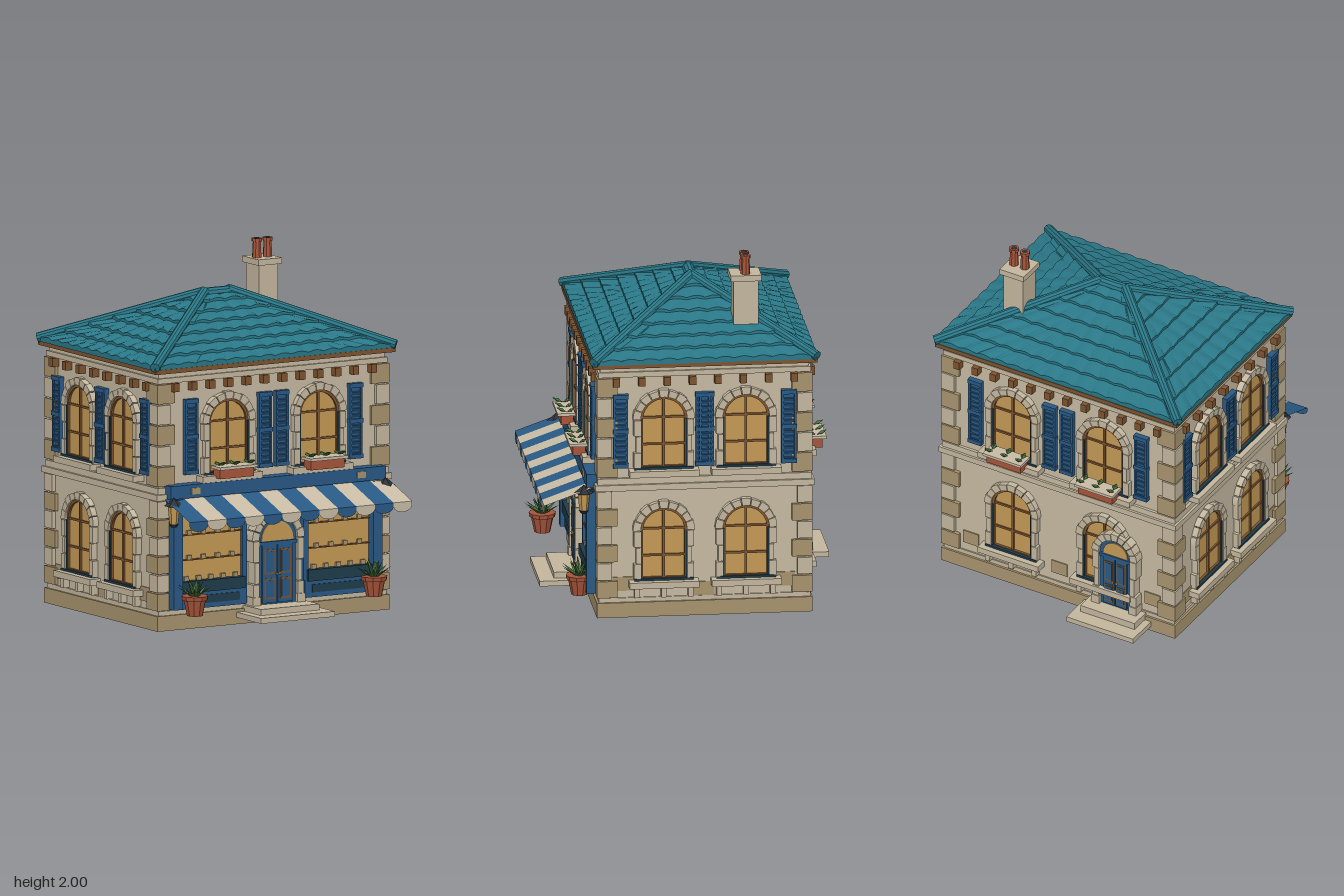
import * as THREE from 'three';

const C = { wall: 0xc6baa2, stone: 0xc4b79e, sand: 0xa8946e, roof: 0x2a7888, blue: 0x295a86, navy: 0x1f3c4c,
  glass: 0xc49a55, wood: 0x7d5430, clay: 0xa8553a, leaf: 0x47713f, iron: 0x2c3238, cream: 0xc9bda6 };
const mats = {};
const mat = (c) => (mats[c] ??= new THREE.MeshStandardMaterial({ color: c, flatShading: true, roughness: 0.9, side: THREE.DoubleSide }));
const X = 0.735, ZF = 0.528, ZB = -0.638, ZC = -0.055;

function add(parent, name, geo, color, x = 0, y = 0, z = 0) {
  const m = new THREE.Mesh(geo, mat(color));
  m.name = name;
  m.position.set(x, y, z);
  parent.add(m);
  return m;
}
const box = (p, name, w, h, d, x, y, z, c) => add(p, name, new THREE.BoxGeometry(w, h, d), c, x, y, z);
function sub(parent, name, x = 0, y = 0, z = 0, ry = 0) {
  const g = new THREE.Group();
  g.name = name;
  g.position.set(x, y, z);
  g.rotation.y = ry;
  parent.add(g);
  return g;
}
const extrude = (s, depth, curveSegments = 12) => new THREE.ExtrudeGeometry(s, { depth, bevelEnabled: false, curveSegments });

function archShape(a, y0, spring) {
  const s = new THREE.Shape();
  s.moveTo(-a, y0);
  s.lineTo(a, y0);
  s.lineTo(a, spring);
  s.absarc(0, spring, a, 0, Math.PI);
  s.closePath();
  return s;
}

// Ring of wedge stones over stacked jamb stones
function stoneArch(g, a, r, y0, spring, depth, n = 9) {
  for (let i = 0; i < n; i++) {
    const t0 = Math.PI * (i + 0.04) / n, t1 = Math.PI * (i + 0.96) / n, R = r + (i % 2 ? 0 : 0.005);
    const s = new THREE.Shape();
    s.absarc(0, spring, R, t0, t1);
    s.absarc(0, spring, a, t1, t0, true);
    add(g, 'archStone', extrude(s, depth, 3), i % 2 ? C.stone : C.wall);
  }
  const h = (spring - y0) / 3;
  for (const s of [-1, 1]) for (let i = 0; i < 3; i++) {
    const w = (r - a) - (i % 2 ? 0.012 : 0);
    box(g, 'jambStone', w, h - 0.004, depth, s * (a + w / 2), y0 + h * (i + 0.5), depth / 2, i % 2 ? C.wall : C.stone);
  }
}

function archedWindow(p, x, y, z, ry, feet) {
  const g = sub(p, 'archedWindow', x, y, z, ry), a = 0.13, sp = 0.325;
  add(g, 'glass', extrude(archShape(a, 0.04, sp), 0.008), C.glass);
  const ring = archShape(a, 0.04, sp);
  ring.holes.push(archShape(a - 0.014, 0.055, sp));
  add(g, 'windowFrame', extrude(ring, 0.022), C.wood);
  box(g, 'mullion', 0.014, 0.4, 0.012, 0, 0.25, 0.012, C.wood);
  for (const yy of [0.18, 0.335]) box(g, 'glazingBar', 2 * a - 0.02, 0.012, 0.01, 0, yy, 0.012, C.wood);
  for (const s of [-1, 1]) box(g, 'jambLining', 0.012, sp - 0.04, 0.028, s * (a - 0.003), (sp + 0.04) / 2, 0.014, C.navy);
  stoneArch(g, a, 0.168, 0.04, sp, 0.035);
  box(g, 'sill', 0.39, 0.036, 0.07, 0, 0.018, 0.035, C.stone);
  box(g, 'sillTrim', 0.33, 0.012, 0.04, 0, 0.044, 0.02, C.navy);
  if (feet) for (const fx of [-0.15, 0, 0.15]) box(g, 'sillFoot', 0.03, 0.06, 0.04, fx, -0.03, 0.02, C.stone);
  return g;
}

function shutters(g) {
  for (const s of [-1, 1]) {
    const sh = sub(g, 'shutter', s * 0.24, 0.26, s * 0.001);
    box(sh, 'shutterBoard', 0.07, 0.41, 0.016, 0, 0, 0.01, C.blue);
    for (const e of [-1, 1]) box(sh, 'shutterStile', 0.012, 0.42, 0.028, e * 0.035, 0, 0.014, C.blue);
    for (const yy of [-0.2, 0, 0.2]) box(sh, 'shutterRail', 0.086, 0.024, 0.032, 0, yy, 0.016, C.blue);
    for (let i = 0; i < 12; i++) if (i !== 6) box(sh, 'louver', 0.06, 0.022, 0.006, 0, -0.186 + i * 0.031, 0.021, C.blue).rotation.x = 0.5;
  }
}

function flowerBox(g) {
  box(g, 'flowerBox', 0.22, 0.055, 0.07, 0, 0.05, 0.08, C.clay);
  box(g, 'flowerBoxRim', 0.245, 0.016, 0.1, 0, 0.083, 0.086, C.cream);
  for (const fx of [-0.095, 0, 0.095]) for (const k of [0, 1]) {
    const l = add(g, 'leaf', new THREE.OctahedronGeometry(1), C.leaf, fx, 0.107 - k * 0.004, k ? 0.058 : 0.112);
    l.scale.set(k ? 0.018 : 0.026, 0.01, k ? 0.022 : 0.032);
    l.rotation.x = k ? 0.5 : -0.45;
  }
}

function archedDoor(p, name, x, y, z, ry, a, spring, depth) {
  const g = sub(p, name, x, y, z, ry), zf = depth - 0.018, top = spring - 0.02;
  add(g, 'doorBacking', extrude(archShape(a, 0, spring), zf), C.blue);
  add(g, 'fanlight', extrude(archShape(a - 0.022, top + 0.012, spring), 0.006), C.glass, 0, 0, zf);
  box(g, 'transom', 2 * a, 0.02, 0.014, 0, top, zf + 0.005, C.blue);
  for (const s of [-1, 1]) {
    const w = a - 0.028;
    box(g, 'doorLeaf', w, top - 0.02, 0.008, s * (w / 2 + 0.003), top / 2, zf + 0.004, C.blue);
    for (const [yy, h] of [[top * 0.26, top * 0.34], [top * 0.7, top * 0.4]]) {
      box(g, 'panelTrim', w * 0.72, h, 0.004, s * (w / 2 + 0.003), yy, zf + 0.009, C.wood);
      box(g, 'doorPanel', w * 0.56, h - 0.02, 0.006, s * (w / 2 + 0.003), yy, zf + 0.01, C.blue);
    }
    add(g, 'doorKnob', new THREE.SphereGeometry(0.008, 6, 5), C.glass, s * 0.012, top * 0.5, zf + 0.016);
    box(g, 'postBase', 0.05, 0.05, depth + 0.012, s * (a + 0.02), 0.025, depth / 2, C.stone);
  }
  stoneArch(g, a, a + 0.04, 0, spring, depth);
}

// One hipped slope of stepped, wavy tile courses
function tileSlope(p, a, b, ra, rb) {
  const rows = 7, cols = 64, dir = b.clone().sub(a).normalize(), pos = [], idx = [];
  for (let k = 0; k < rows; k++) {
    const base = pos.length / 3;
    for (const [t, lift, amp] of [[k / rows, -0.006, 0], [k / rows, 0.016, 0.012], [Math.min(1, (k + 1.1) / rows), 0.002, 0.008]]) {
      const l = a.clone().lerp(ra, t), r = b.clone().lerp(rb, t);
      for (let i = 0; i <= cols; i++) {
        const q = l.clone().lerp(r, i / cols), s = q.clone().sub(a).dot(dir);
        pos.push(q.x, q.y + lift + amp * Math.abs(Math.cos(Math.PI * s / 0.105)), q.z);
      }
    }
    for (let j = 0; j < 2; j++) for (let i = 0; i < cols; i++) {
      const o = base + j * (cols + 1) + i, u = o + cols + 1;
      idx.push(o, o + 1, u + 1, o, u + 1, u);
    }
  }
  const geo = new THREE.BufferGeometry();
  geo.setAttribute('position', new THREE.Float32BufferAttribute(pos, 3));
  geo.setIndex(idx);
  geo.computeVertexNormals();
  add(p, 'roofSlope', geo, C.roof);
}

function rod(p, name, a, b, r, color, sides = 8) {
  const d = b.clone().sub(a), m = add(p, name, new THREE.CylinderGeometry(r, r, d.length(), sides), color);
  m.position.copy(a).lerp(b, 0.5);
  m.quaternion.setFromUnitVectors(new THREE.Vector3(0, 1, 0), d.normalize());
}

function pottedPlant(p, x, z) {
  const g = sub(p, 'pottedPlant', x, 0.1, z);
  add(g, 'pot', new THREE.CylinderGeometry(0.066, 0.045, 0.1, 10), C.clay, 0, 0.05, 0);
  add(g, 'potRim', new THREE.CylinderGeometry(0.076, 0.072, 0.024, 10), C.clay, 0, 0.1, 0);
  for (let i = 0; i < 14; i++) {
    const pivot = sub(g, 'frond', 0, 0.1, 0, i * 2.4), tilt = i < 5 ? 0.45 : 1.0;
    const leaf = add(pivot, 'leaf', new THREE.ConeGeometry(0.024, 0.12, 4), C.leaf, 0, Math.cos(tilt) * 0.06, Math.sin(tilt) * 0.06);
    leaf.scale.z = 0.35;
    leaf.rotation.x = tilt;
  }
}

export function createModel() {
  const root = new THREE.Group();
  root.name = 'cornerShop';
  const D = ZF - ZB;

  // Plinth, walls and horizontal bands
  const slab = (name, y0, y1, out, c) => box(root, name, 2 * (X + out), y1 - y0, D + 2 * out, 0, (y0 + y1) / 2, ZC, c);
  slab('plinth', 0, 0.085, 0.02, C.sand);
  slab('plinthCap', 0.085, 0.11, 0.008, C.stone);
  slab('walls', 0.1, 1.46, 0, C.wall);
  slab('beltCourse', 0.735, 0.77, 0.03, C.stone);
  slab('beltCap', 0.77, 0.805, 0.016, C.wall);
  slab('frieze', 1.39, 1.42, 0.012, C.stone);
  slab('eaveBoard', 1.45, 1.475, 0.045, C.wood);

  // Corner quoins
  for (const sx of [-1, 1]) for (const z of [ZF, ZB]) for (const [y0, n, h] of [[0.11, 6, 0.104], [0.81, 5, 0.116]])
    for (let i = 0; i < n; i++) {
      const w = i % 2 ? 0.085 : 0.115, sz = Math.sign(z);
      box(root, 'quoin', w, h - 0.008, w, sx * (X + 0.02 - w / 2), y0 + h * (i + 0.5), z + sz * (0.02 - w / 2), i % 2 ? C.stone : C.sand);
    }
  // Scattered facing stones low on the walls
  for (const sx of [-1, 1]) for (const [z, y] of [[-0.5, 0.19], [-0.05, 0.15], [0.4, 0.19]])
    box(root, 'facingStone', 0.012, 0.08, 0.12, sx * X, y, z, C.sand);
  for (const x of [0, 0.57, -0.6]) box(root, 'facingStone', 0.1, 0.08, 0.012, x, 0.2, ZB, C.sand);

  // Eave brackets
  for (let i = 0; i < 12; i++) for (const z of [ZF + 0.02, ZB - 0.02])
    box(root, 'eaveBracket', 0.038, 0.048, 0.045, -0.644 + i * 0.117, 1.367, z, C.wood);
  for (let i = 0; i < 8; i++) for (const sx of [-1, 1])
    box(root, 'eaveBracket', 0.045, 0.048, 0.038, sx * (X + 0.02), 1.367, 0.44 - i * 0.142, C.wood);

  // Windows on all sides
  for (const x of [-0.295, 0.295]) for (const [z, ry] of [[ZF, 0], [ZB, Math.PI]]) {
    const w = archedWindow(root, x, 0.82, z, ry, false);
    shutters(w);
    flowerBox(w);
    if (ry) archedWindow(root, x, 0.175, z, ry, true);
  }
  for (const s of [-1, 1]) for (const z of [0.175, -0.285]) {
    shutters(archedWindow(root, s * X, 0.82, z, s * Math.PI / 2, false));
    archedWindow(root, s * X, 0.175, z, s * Math.PI / 2, true);
  }

  // Doors and steps
  archedDoor(root, 'frontDoor', 0, 0.1, ZF, 0, 0.125, 0.365, 0.075);
  archedDoor(root, 'backDoor', -0.385, 0.1, ZB, Math.PI, 0.1, 0.35, 0.06);
  box(root, 'frontLowerStep', 0.48, 0.03, 0.27, 0, 0.053, 0.675, C.stone);
  box(root, 'frontUpperStep', 0.38, 0.035, 0.19, 0, 0.085, 0.63, C.stone);
  box(root, 'backLowerStep', 0.43, 0.03, 0.22, -0.385, 0.045, -0.745, C.stone);
  box(root, 'backUpperStep', 0.35, 0.04, 0.14, -0.385, 0.08, -0.7, C.stone);

  // Shop windows
  for (const s of [-1, 1]) {
    const g = sub(root, 'shopWindow', s * 0.415, 0, ZF);
    box(g, 'shopGlass', 0.41, 0.46, 0.02, 0, 0.5, 0.01, C.glass);
    box(g, 'stallRiser', 0.45, 0.1, 0.045, 0, 0.165, 0.0225, C.blue);
    box(g, 'riserPanel', 0.36, 0.045, 0.01, 0, 0.165, 0.045, C.navy);
    box(g, 'shopSill', 0.42, 0.065, 0.06, 0, 0.24, 0.03, C.navy);
    box(g, 'pilaster', 0.06, 0.62, 0.07, s * 0.235, 0.43, 0.035, C.blue);
    box(g, 'innerPost', 0.03, 0.62, 0.04, -s * 0.215, 0.43, 0.02, C.blue);
    for (const y of [0.39, 0.53]) {
      box(g, 'shelf', 0.4, 0.007, 0.02, 0, y, 0.025, C.wood);
      for (let i = 0; i < 4; i++) box(g, 'shelfGoods', 0.028, 0.022, 0.015, -0.14 + i * 0.093, y + 0.014, 0.027, C.sand);
    }
    for (let i = 0; i < 5; i++) box(g, 'shelfGoods', 0.028, 0.025, 0.015, -0.16 + i * 0.08, 0.285, 0.03, C.sand);

    // Wall lantern
    const l = sub(root, 'lantern', s * 0.69, 0, 0.615);
    add(l, 'lanternHat', new THREE.ConeGeometry(0.055, 0.045, 6), C.iron, 0, 0.735, 0);
    add(l, 'lanternGlass', new THREE.CylinderGeometry(0.034, 0.024, 0.1, 6), C.glass, 0, 0.66, 0);
    add(l, 'lanternBase', new THREE.CylinderGeometry(0.028, 0.016, 0.018, 6), C.iron, 0, 0.602, 0);
    box(l, 'lanternArm', 0.014, 0.014, 0.09, 0, 0.725, -0.045, C.iron);
    box(root, 'fasciaPlaque', 0.055, 0.036, 0.01, s * 0.54, 0.783, 0.602, C.sand);
  }
  box(root, 'shopFascia', 1.4, 0.075, 0.072, 0, 0.782, 0.564, C.blue);
  box(root, 'shopLintel', 1.36, 0.1, 0.03, 0, 0.695, 0.543, C.blue);

  // Striped awning with scalloped valance
  const y0 = 0.745, z0 = 0.578, y1 = 0.652, z1 = 0.84, w = 0.1208;
  for (let i = 0; i < 12; i++) {
    const x = (i - 5.5) * w, c = i % 2 ? C.cream : C.blue;
    const cloth = add(root, 'awningStripe', new THREE.PlaneGeometry(w, Math.hypot(y0 - y1, z1 - z0)), c, x, (y0 + y1) / 2, (z0 + z1) / 2);
    cloth.rotation.x = -Math.atan2(z1 - z0, y0 - y1);
    const s = new THREE.Shape();
    s.moveTo(w / 2, 0);
    s.lineTo(-w / 2, 0);
    s.lineTo(-w / 2, -0.02);
    s.absellipse(0, -0.02, w / 2, 0.036, Math.PI, 2 * Math.PI);
    add(root, 'awningScallop', new THREE.ShapeGeometry(s, 8), c, x, y1, z1);
  }
  pottedPlant(root, -0.605, 0.7);
  pottedPlant(root, 0.605, 0.63);

  // Hipped tile roof with ridge caps
  const V = (x, y, z) => new THREE.Vector3(x, y, z);
  const ey = 1.478, ry = 1.765, ex = 0.785, zf = 0.57, zb = -0.68;
  const corner = [V(-ex, ey, zf), V(ex, ey, zf), V(ex, ey, zb), V(-ex, ey, zb)];
  const L = V(-0.08, ry, ZC), R = V(0.08, ry, ZC), top = [L, R, R, L];
  for (let i = 0; i < 4; i++) {
    tileSlope(root, corner[i], corner[(i + 1) % 4], top[i], top[(i + 1) % 4]);
    const up = V(0, 0.012, 0);
    rod(root, 'hipCap', corner[i].clone().add(up), top[i].clone().add(up), 0.028, C.roof, 10);
  }
  rod(root, 'ridgeCap', V(-0.09, ry, ZC), V(0.09, ry, ZC), 0.032, C.roof, 10);

  // Chimney
  const ch = sub(root, 'chimney', 0.453, 0, -0.312);
  box(ch, 'chimneyShaft', 0.125, 0.27, 0.138, 0, 1.74, 0, C.stone);
  box(ch, 'chimneyCap', 0.155, 0.034, 0.172, 0, 1.875, 0, C.stone);
  for (const x of [-0.035, 0.035]) {
    add(ch, 'chimneyPot', new THREE.CylinderGeometry(0.022, 0.027, 0.1, 8), C.clay, x, 1.94, 0);
    add(ch, 'chimneyPotRim', new THREE.CylinderGeometry(0.029, 0.029, 0.018, 8), C.clay, x, 1.991, 0);
    add(ch, 'chimneyPotHole', new THREE.CylinderGeometry(0.017, 0.017, 0.004, 8), C.iron, x, 1.999, 0);
  }
  return root;
}
